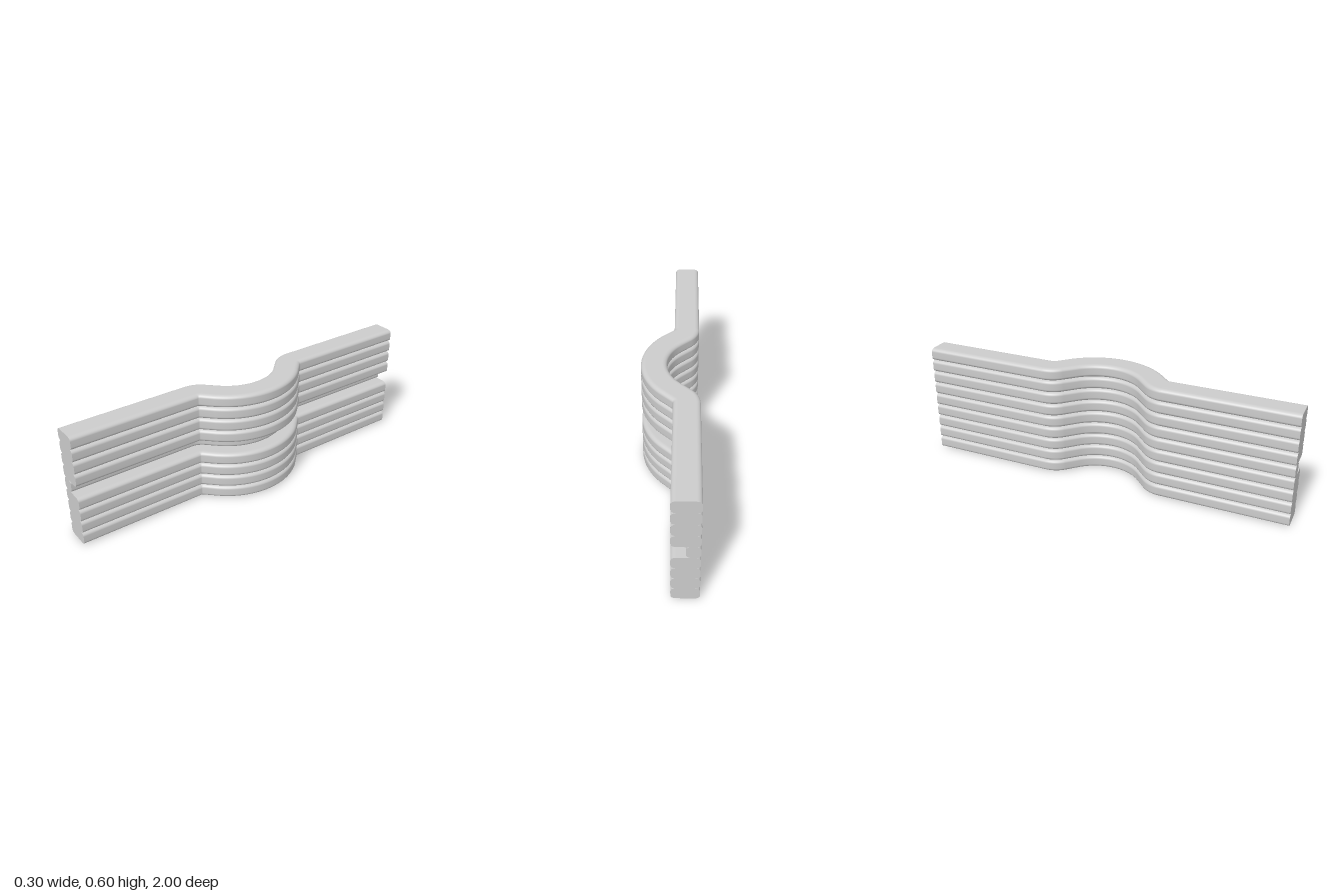
import * as THREE from 'three';

const COUNT = 9, HEIGHT = 0.6 / COUNT;
const WIDE = 0.132, NARROW = 0.065;

// Inner edge of the bend as { x, z, nx, nz }, running from z = +1 to z = -1
function bendPath() {
  const path = [{ x: -0.15, z: 1, nx: 1, nz: 0 }];
  const e = 0.01, angle = Math.PI / 4, steps = 14;
  const cx = -0.15 + WIDE + e, cz = 0.325, fillet = WIDE + e; // concave shoulder
  const apex = 0.016, k = Math.cos(angle);
  const bx = (fillet + apex - k * (cx + cz)) / (1 - k), r = apex - bx; // outward bulge
  for (let i = 0; i <= steps; i++) {
    const a = angle * i / steps, nx = Math.cos(a), nz = Math.sin(a);
    path.push({ x: cx - fillet * nx, z: cz - fillet * nz, nx, nz });
  }
  for (let i = 0; i <= steps; i++) {
    const a = angle * (1 - i / steps), nx = Math.cos(a), nz = Math.sin(a);
    path.push({ x: bx + r * nx, z: r * nz, nx, nz });
  }
  const mirrored = path.slice(0, -1).reverse()
    .map(p => ({ x: p.x, z: -p.z, nx: p.nx, nz: -p.nz }));
  return [...path, ...mirrored];
}

// Rounded bar cross-section, counterclockwise: u across, v up
function section(width) {
  const rx = 0.024, ry = 0.018, steps = 6, points = [];
  const corners = [[width - rx, ry], [width - rx, HEIGHT - ry], [rx, HEIGHT - ry], [rx, ry]];
  corners.forEach(([u, v], q) => {
    for (let i = 0; i <= steps; i++) {
      const a = (q - 1 + i / steps) * Math.PI / 2;
      points.push([u + rx * Math.cos(a), v + ry * Math.sin(a)]);
    }
  });
  return points;
}

// Sweep the section along the bend and close both ends
function barGeometry(width) {
  const path = bendPath(), profile = section(width), n = profile.length;
  const positions = [], index = [];
  const addRing = p => profile.forEach(([u, v]) =>
    positions.push(p.x + p.nx * u, v, p.z + p.nz * u));
  path.forEach(addRing);
  for (let i = 0; i < path.length - 1; i++) {
    for (let j = 0; j < n; j++) {
      const a = i * n + j, b = i * n + (j + 1) % n;
      index.push(a, a + n, b, b, a + n, b + n);
    }
  }
  const front = path.length * n, back = front + n;
  addRing(path[0]);
  addRing(path[path.length - 1]);
  for (let j = 1; j < n - 1; j++) {
    index.push(front, front + j, front + j + 1);
    index.push(back, back + j + 1, back + j);
  }
  const geometry = new THREE.BufferGeometry();
  geometry.setAttribute('position', new THREE.Float32BufferAttribute(positions, 3));
  geometry.setIndex(index);
  geometry.computeVertexNormals();
  return geometry;
}

export function createModel() {
  const model = new THREE.Group();
  model.name = 'bentBarStack';
  const material = new THREE.MeshStandardMaterial({ color: 0xcccccc });
  const wide = barGeometry(WIDE), narrow = barGeometry(NARROW);

  // Eight wide bars with one narrow bar recessed in the middle
  for (let i = 0; i < COUNT; i++) {
    const middle = i === (COUNT - 1) / 2;
    const bar = new THREE.Mesh(middle ? narrow : wide, material);
    bar.name = middle ? 'narrowMiddleBar' : `wideBar${i + 1}`;
    bar.position.y = i * HEIGHT;
    model.add(bar);
  }
  return model;
}
